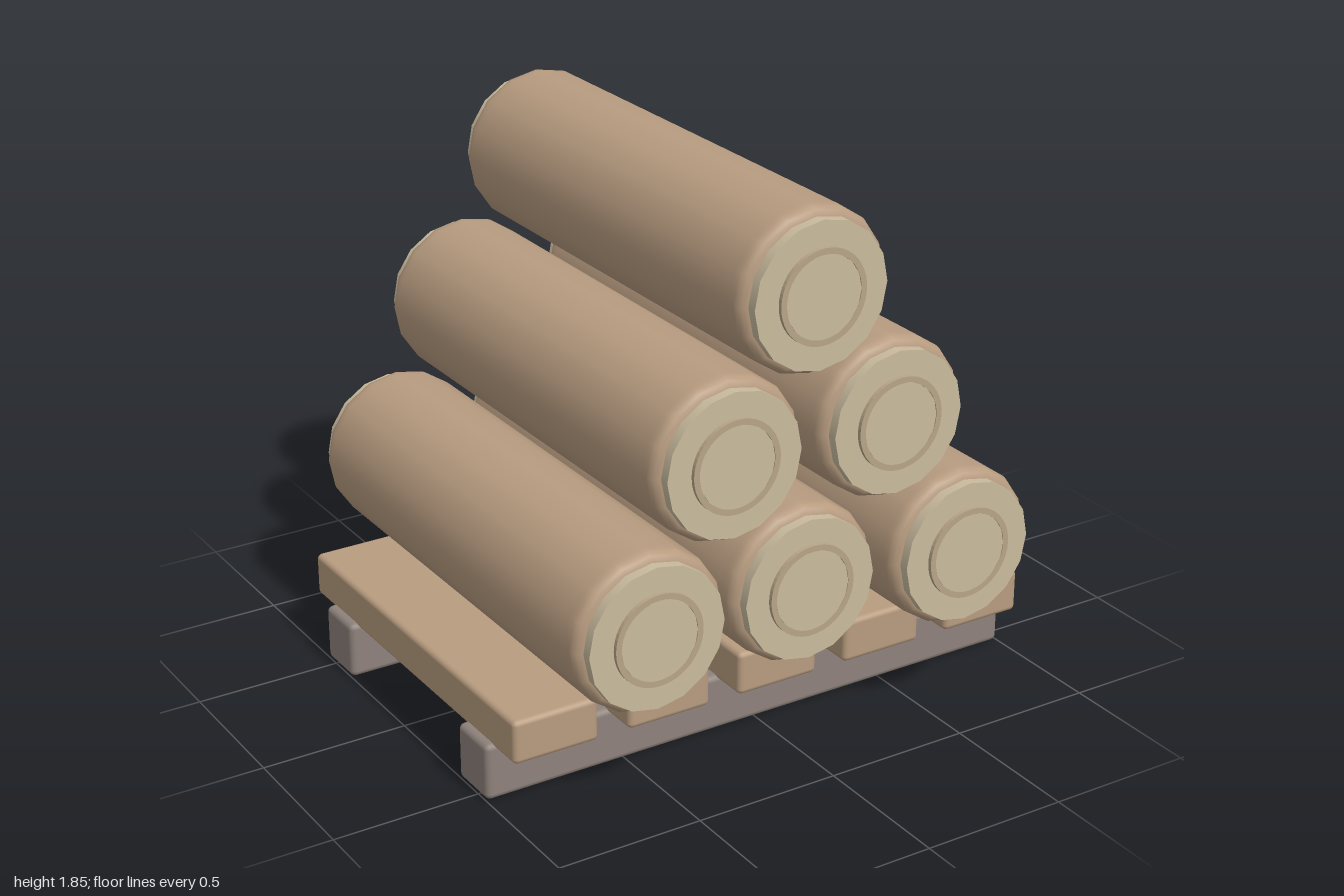
import * as THREE from 'three';
import { RoundedBoxGeometry } from 'three/addons/geometries/RoundedBoxGeometry.js';

const SIDES = 16;

function material(name, color) {
  const m = new THREE.MeshStandardMaterial({ color });
  m.name = name;
  return m;
}

function add(parent, name, geometry, mat, x = 0, y = 0, z = 0) {
  const mesh = new THREE.Mesh(geometry, mat);
  mesh.name = name;
  mesh.position.set(x, y, z);
  parent.add(mesh);
  return mesh;
}

// Log body along z with rounded end edges
function barkGeometry(radius, half, bevel) {
  const end = [];
  for (let i = 0; i <= 4; i++) {
    const a = (i / 4) * Math.PI / 2;
    end.push([radius - bevel + bevel * Math.cos(a), half - bevel + bevel * Math.sin(a)]);
  }
  const side = [[radius, half - bevel - 0.02], ...end, [0.2, half]];
  const profile = [
    ...side.slice().reverse().map(([r, h]) => new THREE.Vector2(r, -h)),
    ...side.map(([r, h]) => new THREE.Vector2(r, h)),
  ];
  return new THREE.LatheGeometry(profile, SIDES).rotateX(Math.PI / 2);
}

const disc = (r, depth) =>
  new THREE.CylinderGeometry(r, r, depth, SIDES).rotateX(Math.PI / 2);

// Flat growth ring with a hollow middle
function ringGeometry(outer, inner, depth) {
  const h = depth / 2;
  const shape = new THREE.Shape().absarc(0, 0, outer, 0, Math.PI * 2);
  shape.holes.push(new THREE.Path().absarc(0, 0, inner, 0, Math.PI * 2, true));
  return new THREE.ExtrudeGeometry(shape, { depth, bevelEnabled: false, curveSegments: 24 })
    .translate(0, 0, -h);
}

export function createModel() {
  const model = new THREE.Group();
  model.name = 'logPile';

  const bark = material('bark', 0xb89c80);
  const endGrain = material('endGrain', 0xc9bb9e);
  const growthRing = material('growthRing', 0xb8a587);
  const plankWood = material('plankWood', 0xb89c7f);
  const beamWood = material('beamWood', 0x8e827b);

  // Pallet beams across x
  const beamGeo = new RoundedBoxGeometry(2, 0.195, 0.185, 2, 0.02);
  for (const z of [-0.467, 0.467]) add(model, 'palletBeam', beamGeo, beamWood, 0, 0.0975, z);

  // Pallet planks along z
  const plankGeo = new RoundedBoxGeometry(0.3, 0.15, 1.37, 2, 0.018);
  for (let i = -2; i <= 2; i++) add(model, 'palletPlank', plankGeo, plankWood, i * 0.41, 0.255, 0);

  // Logs: x, y and slight shift in z
  const logs = [
    [-0.575, 0.595, 0], [0, 0.595, -0.025], [0.575, 0.595, 0.025],
    [-0.302, 1.1, 0], [0.302, 1.1, 0],
    [0, 1.58, 0],
  ];
  const barkGeo = barkGeometry(0.27, 0.845, 0.04);
  const capGeo = disc(0.24, 0.06);
  const ringGeo = ringGeometry(0.155, 0.135, 0.025);
  const heartGeo = disc(0.136, 0.022);

  for (const [x, y, z] of logs) {
    const log = new THREE.Group();
    log.name = 'log';
    log.position.set(x, y, z);
    add(log, 'logBark', barkGeo, bark);
    for (const s of [-1, 1]) {
      add(log, 'logEnd', capGeo, endGrain, 0, 0, s * 0.847);
      add(log, 'logRing', ringGeo, growthRing, 0, 0, s * 0.878);
      add(log, 'logHeart', heartGeo, endGrain, 0, 0, s * 0.878);
    }
    model.add(log);
  }
  return model;
}
